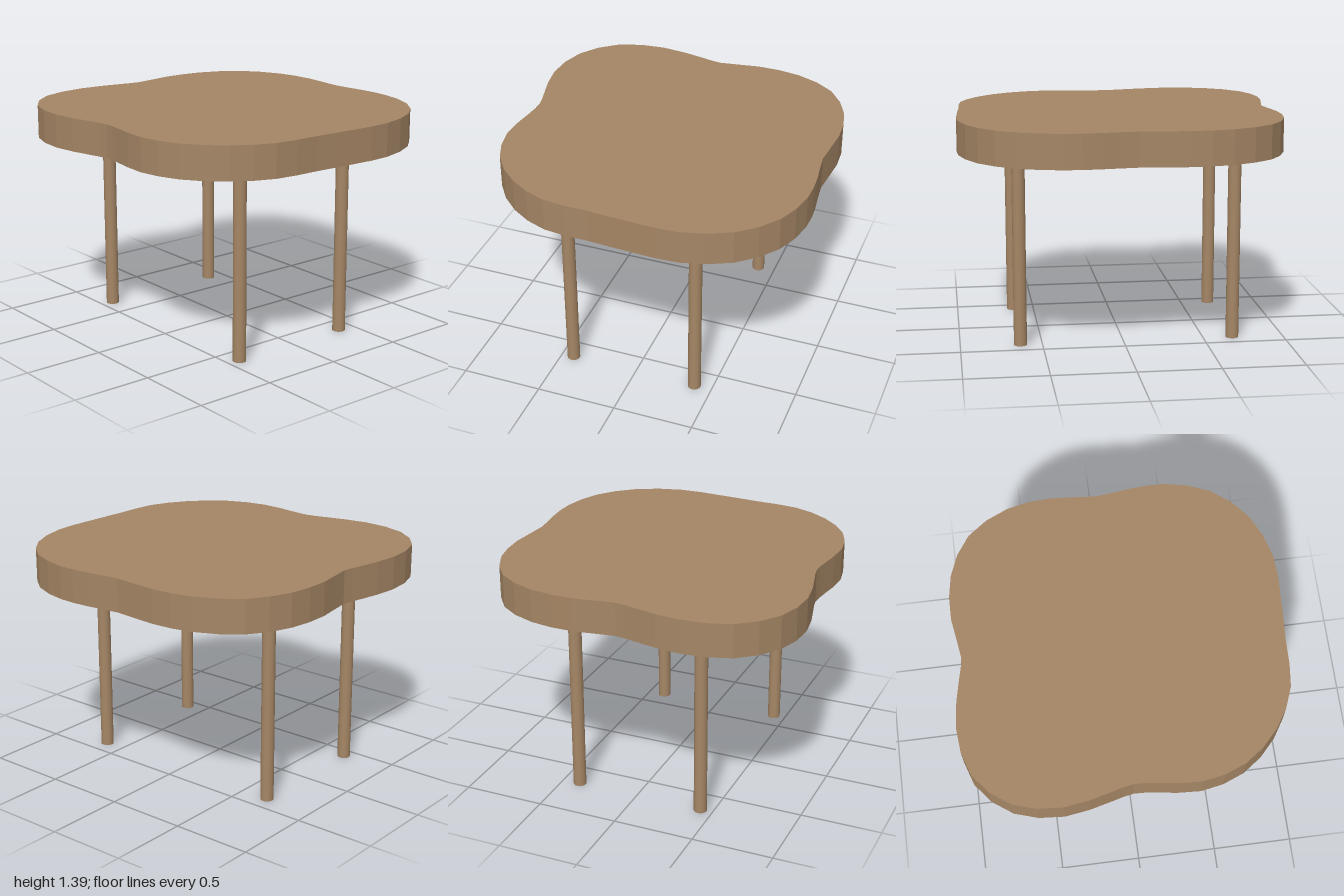
import * as THREE from 'three';

const LEG_TOP = 1.185;
const TABLE_TOP = 1.39;

// Wavy outline of the top as [x, z], clockwise seen from above
const OUTLINE = [
  [-0.02, -0.945], [0.2, -0.972], [0.41, -0.975], [0.67, -0.895], [0.88, -0.695], [0.985, -0.41],
  [0.985, -0.14], [0.968, 0.14], [0.95, 0.42], [0.83, 0.66], [0.62, 0.845], [0.36, 0.92],
  [0.1, 0.895], [-0.03, 0.885], [-0.16, 0.915], [-0.44, 0.97], [-0.73, 0.915], [-0.94, 0.715],
  [-1, 0.42], [-0.955, 0.13], [-0.93, 0], [-0.968, -0.25], [-0.945, -0.53], [-0.815, -0.78],
  [-0.565, -0.93], [-0.3, -0.968],
];

export function createModel() {
  const table = new THREE.Group();
  table.name = 'table';
  const wood = new THREE.MeshStandardMaterial({ color: 0xa58665 });

  // Thick slab with a free-form edge, lightly faceted
  const curve = new THREE.CatmullRomCurve3(
    OUTLINE.map(([x, z]) => new THREE.Vector3(x, -z, 0)), true);
  const edge = curve.getPoints(OUTLINE.length * 2).slice(0, -1);
  const shape = new THREE.Shape(edge.map((p) => new THREE.Vector2(p.x, p.y)));
  const slab = new THREE.ExtrudeGeometry(shape, { depth: TABLE_TOP - LEG_TOP, bevelEnabled: false });
  slab.rotateX(-Math.PI / 2);
  const top = new THREE.Mesh(slab, wood);
  top.name = 'tableTop';
  top.position.y = LEG_TOP;
  table.add(top);

  // Four round legs
  const legGeometry = new THREE.CylinderGeometry(0.04, 0.04, LEG_TOP, 20);
  for (const [side, x] of [['Right', -0.682], ['Left', 0.634]]) {
    for (const [end, z] of [['front', 0.422], ['back', -0.388]]) {
      const leg = new THREE.Mesh(legGeometry, wood);
      leg.name = `${end}${side}Leg`;
      leg.position.set(x, LEG_TOP / 2, z);
      table.add(leg);
    }
  }
  return table;
}
